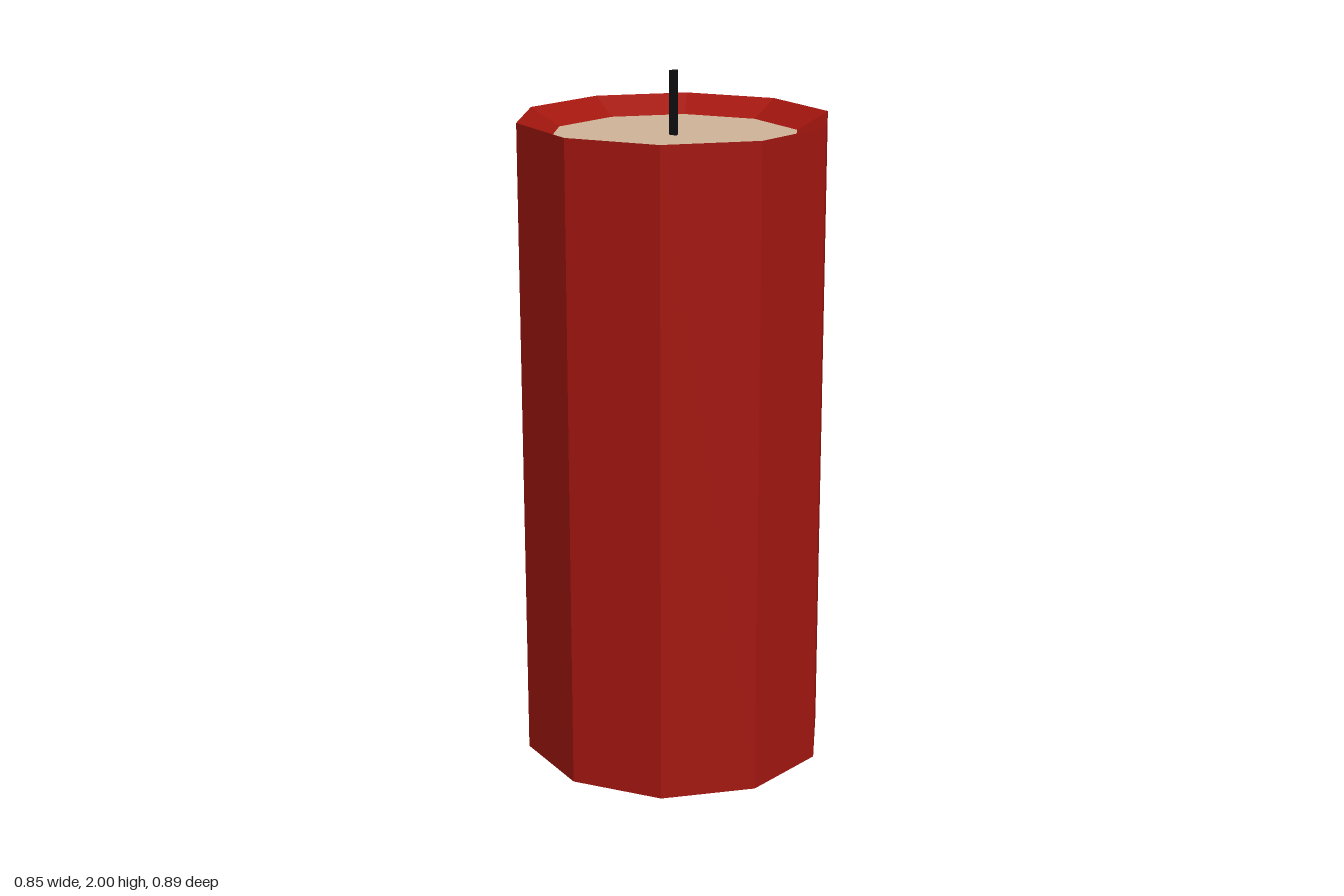
import * as THREE from 'three';

const SIDES = 10;
const RADIUS = 0.445, INNER = 0.356;
const RIM_Y = 1.87, WAX_Y = 1.82, TOP_Y = 2;

function addPart(group, name, geometry, color) {
  const material = new THREE.MeshStandardMaterial({ color, flatShading: true });
  const mesh = new THREE.Mesh(geometry, material);
  mesh.name = name;
  group.add(mesh);
  return mesh;
}

export function createModel() {
  const group = new THREE.Group();
  group.name = 'candle';

  // Ten-sided body: closed base, straight wall, rim sloping in to the wax pool
  const profile = [[0, 0], [RADIUS, 0], [RADIUS, RIM_Y], [INNER, WAX_Y]]
    .map(([r, y]) => new THREE.Vector2(r, y));
  addPart(group, 'body', new THREE.LatheGeometry(profile, SIDES), 0xa3160f);

  // Flat wax pool, with corners aligned to the body
  const pool = new THREE.CircleGeometry(INNER, SIDES, Math.PI / 2);
  pool.rotateX(-Math.PI / 2);
  addPart(group, 'waxPool', pool, 0xd0b498).position.y = WAX_Y;

  // Three-sided wick with one corner to the back
  const height = TOP_Y - WAX_Y;
  const wick = new THREE.CylinderGeometry(0.0155, 0.0155, height, 3);
  wick.rotateY(Math.PI);
  addPart(group, 'wick', wick, 0x101014).position.y = WAX_Y + height / 2;

  return group;
}
